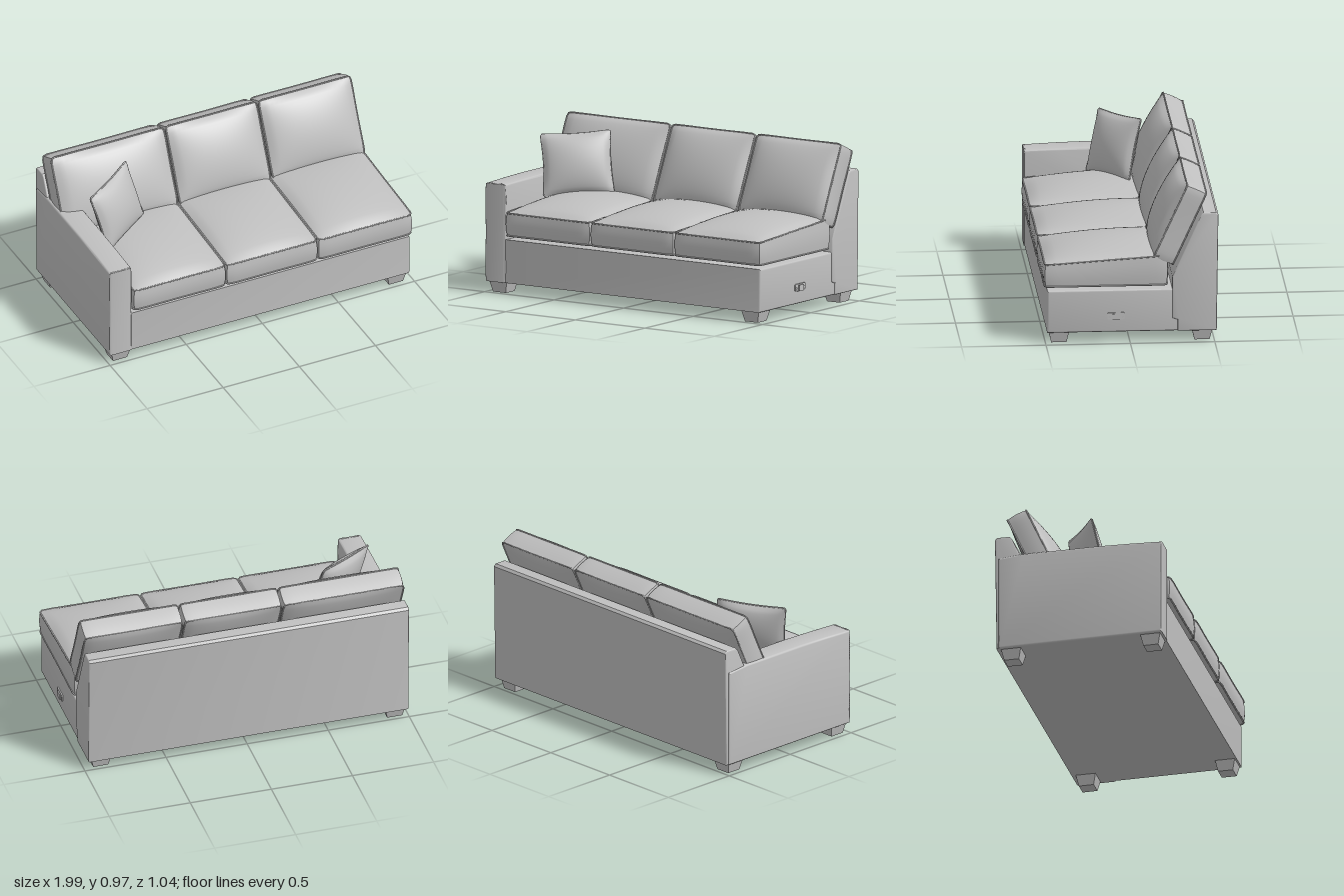
import * as THREE from 'three';
import { toCreasedNormals } from 'three/addons/utils/BufferGeometryUtils.js';

export function createModel() {
  const sofa = new THREE.Group();
  sofa.name = 'sectionalSofa';
  const fabric = new THREE.MeshStandardMaterial({ color: 0xc0c0c0 });
  fabric.name = 'greyFabric';

  function add(name, geometry, parent = sofa) {
    const mesh = new THREE.Mesh(geometry, fabric);
    mesh.name = name;
    parent.add(mesh);
    return mesh;
  }

  // Extrude a [z, y] side profile from x0 to x1, with softened edges
  function sideExtrude(profile, x0, x1, bevel) {
    const shape = new THREE.Shape(profile.map(([z, y]) => new THREE.Vector2(-z, y)));
    const geo = new THREE.ExtrudeGeometry(shape, {
      depth: x1 - x0 - 2 * bevel, bevelEnabled: true, bevelThickness: bevel,
      bevelSize: bevel, bevelOffset: -bevel, bevelSegments: 3,
    });
    geo.rotateY(Math.PI / 2);
    geo.translate(x0 + bevel, 0, 0);
    return toCreasedNormals(geo, 0.6);
  }

  function piping(name, points, radius, parent) {
    const curve = new THREE.CatmullRomCurve3(points, true, 'centripetal');
    return add(name, new THREE.TubeGeometry(curve, 112, radius, 6, true), parent);
  }

  // Stuffed cushion: its face lies in local xy, its thickness along z
  function cushion(name, { w, h, d, front, back, pinch = 0.012, puff = 0.015, rise = 0, seams = [-1, 1] }) {
    const group = new THREE.Group();
    group.name = name;
    const warp = (u, v, s) => {
      const round = 1 - 0.03 * Math.pow(u * v, 8);
      const side = 1 + puff * (1 - s * s);
      const dome = Math.pow(Math.max(0, (1 - u * u) * (1 - v * v)), 0.6);
      return new THREE.Vector3(
        (w / 2) * u * (1 - pinch * (1 - v * v)) * round * side,
        (h / 2) * v * (1 - pinch * (1 - u * u)) * round * side,
        (d / 2) * s + dome * (s > 0 ? front : back) * s + rise * ((v + 1) / 2) * ((s + 1) / 2));
    };
    const geo = new THREE.BoxGeometry(2, 2, 2, 20, 20, 4);
    const pos = geo.attributes.position;
    for (let i = 0; i < pos.count; i++) {
      const p = warp(pos.getX(i), pos.getY(i), pos.getZ(i));
      pos.setXYZ(i, p.x, p.y, p.z);
    }
    geo.computeVertexNormals();
    add(name + 'Body', geo, group);
    // Piped seams around the edges
    for (const s of seams) {
      const loop = [];
      const n = 10;
      for (let k = 0; k < 4; k++) {
        for (let i = 0; i < n; i++) {
          const t = -1 + (2 * i) / n;
          const [u, v] = [[t, -1], [1, t], [-t, 1], [-1, -t]][k];
          loop.push(warp(u, v, s));
        }
      }
      piping(name + 'Piping', loop, 0.005, group);
    }
    sofa.add(group);
    return group;
  }

  // Base
  add('base', sideExtrude([[0.49, 0.065], [0.49, 0.325], [-0.45, 0.325], [-0.45, 0.065]], -0.88, 0.975, 0.012));

  // Sloped back frame
  add('backFrame', sideExtrude([
    [-0.28, 0.065], [-0.28, 0.135], [-0.25, 0.145], [-0.25, 0.4], [-0.29, 0.49],
    [-0.42, 0.775], [-0.435, 0.79], [-0.51, 0.79], [-0.523, 0.775], [-0.513, 0.065],
  ], -0.993, 0.982, 0.008));

  // Single arm, with piping round its front panel
  add('arm', sideExtrude([
    [0.495, 0.065], [0.495, 0.652], [0.3, 0.66], [0.1, 0.665], [-0.35, 0.665], [-0.5, 0.65], [-0.5, 0.065],
  ], -1, -0.855, 0.012));
  const armLoop = [];
  const corners = [[-0.993, 0.072], [-0.862, 0.072], [-0.862, 0.648], [-0.993, 0.648]];
  corners.forEach(([x, y], k) => {
    const [nx, ny] = corners[(k + 1) % 4];
    for (const t of [0.03, 0.5, 0.97]) {
      armLoop.push(new THREE.Vector3(x + (nx - x) * t, y + (ny - y) * t, 0.488));
    }
  });
  piping('armPiping', armLoop, 0.006, sofa);

  // Seat cushions
  for (const [x0, x1] of [[-0.848, -0.24], [-0.237, 0.363], [0.366, 0.985]]) {
    const seat = cushion('seatCushion', {
      w: x1 - x0, h: 0.735, d: 0.135, front: 0.06, back: 0.03, rise: 0.045, puff: 0.02,
    });
    seat.rotation.x = -Math.PI / 2;
    seat.position.set((x0 + x1) / 2, 0.42, 0.142);
  }

  // Back cushions
  for (const [x0, x1] of [[-0.987, -0.238], [-0.232, 0.37], [0.378, 0.988]]) {
    const rest = cushion('backCushion', {
      w: x1 - x0, h: 0.485, d: 0.125, front: 0.07, back: 0.03, pinch: 0.014,
    });
    rest.rotation.x = -0.43;
    rest.position.set((x0 + x1) / 2, 0.717, -0.295);
  }

  // Throw pillow leaning in the arm corner
  const pillow = cushion('throwPillow', {
    w: 0.42, h: 0.38, d: 0.012, front: 0.062, back: 0.062, pinch: 0.06, puff: 0, seams: [0],
  });
  const ax = new THREE.Vector3(0.34, 0.027, -0.225).normalize();
  const az = ax.clone().cross(new THREE.Vector3(-0.08, 0.35, -0.075)).normalize();
  const ay = az.clone().cross(ax);
  pillow.quaternion.setFromRotationMatrix(new THREE.Matrix4().makeBasis(ax, ay, az));
  pillow.position.set(-0.7, 0.723, -0.026);

  // Tapered feet
  for (const x of [-0.918, 0.895]) {
    for (const z of [0.42, -0.428]) {
      const geo = new THREE.BoxGeometry(0.125, 0.07, 0.122);
      const pos = geo.attributes.position;
      for (let i = 0; i < pos.count; i++) {
        if (pos.getY(i) < 0) pos.setXYZ(i, pos.getX(i) * 0.74, pos.getY(i), pos.getZ(i) * 0.74);
      }
      geo.computeVertexNormals();
      add('foot', geo).position.set(x, 0.035, z);
    }
  }

  // Connector bracket on the open end
  const plate = new THREE.Shape([
    [-0.052, 0.018], [-0.046, 0.023], [0.046, 0.023], [0.052, 0.018], [0.052, -0.012], [0.046, -0.018],
    [0.03, -0.018], [0.024, -0.022], [-0.024, -0.022], [-0.03, -0.018], [-0.046, -0.018], [-0.052, -0.012],
  ].map(([x, y]) => new THREE.Vector2(x, y)));
  for (const x of [-0.039, 0.039]) {
    plate.holes.push(new THREE.Path().absarc(x, -0.003, 0.006, 0, Math.PI * 2, true));
  }
  const bracket = add('connectorBracket', new THREE.ExtrudeGeometry(plate, { depth: 0.01, bevelEnabled: false, curveSegments: 8 }));
  bracket.rotation.y = Math.PI / 2;
  bracket.position.set(0.973, 0.163, 0.083);
  add('connectorTab', new THREE.BoxGeometry(0.012, 0.036, 0.046)).position.set(0.984, 0.161, 0.083);

  return sofa;
}
